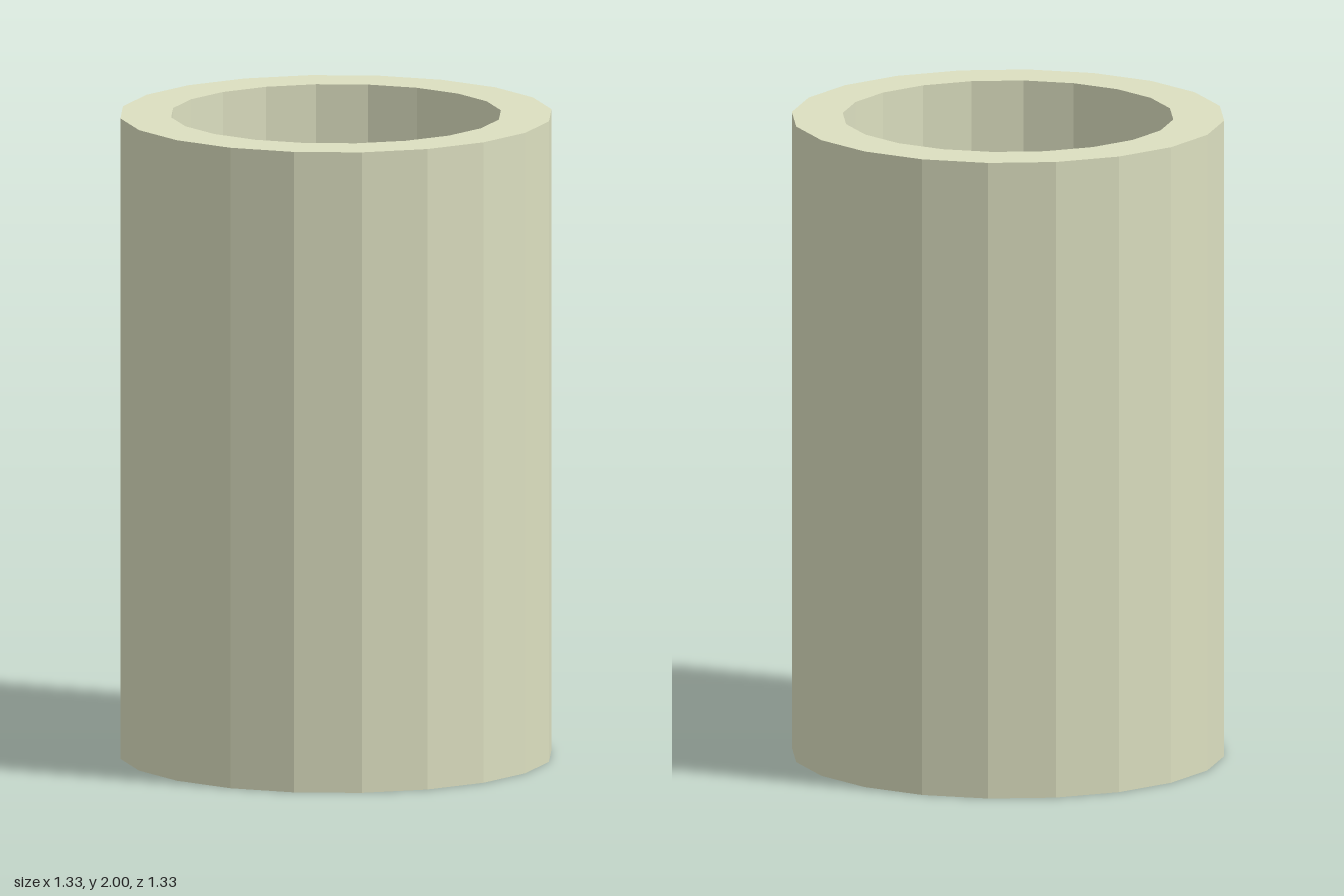
import * as THREE from 'three';

export function createModel() {
  const group = new THREE.Group();
  const wax = new THREE.MeshStandardMaterial({ color: 0xdcdfc0, flatShading: true });

  const SIDES = 20;
  const RADIUS = 0.667, HEIGHT = 2;
  const WELL_RADIUS = 0.51, FLOOR = 1.685;

  // Candle body: closed base, outer wall, flat rim and sunken well
  const profile = [
    [0, 0], [RADIUS, 0], [RADIUS, HEIGHT],
    [WELL_RADIUS, HEIGHT], [WELL_RADIUS, FLOOR], [0, FLOOR],
  ].map(([r, y]) => new THREE.Vector2(r, y));
  const body = new THREE.Mesh(new THREE.LatheGeometry(profile, SIDES), wax);
  body.name = 'candleBody';
  group.add(body);

  // Short wick standing on the well floor
  const WICK_HEIGHT = 0.15;
  const wick = new THREE.Mesh(new THREE.CylinderGeometry(0.027, 0.027, WICK_HEIGHT, SIDES), wax);
  wick.name = 'wick';
  wick.position.set(0, FLOOR + WICK_HEIGHT / 2, 0.007);
  group.add(wick);

  return group;
}
